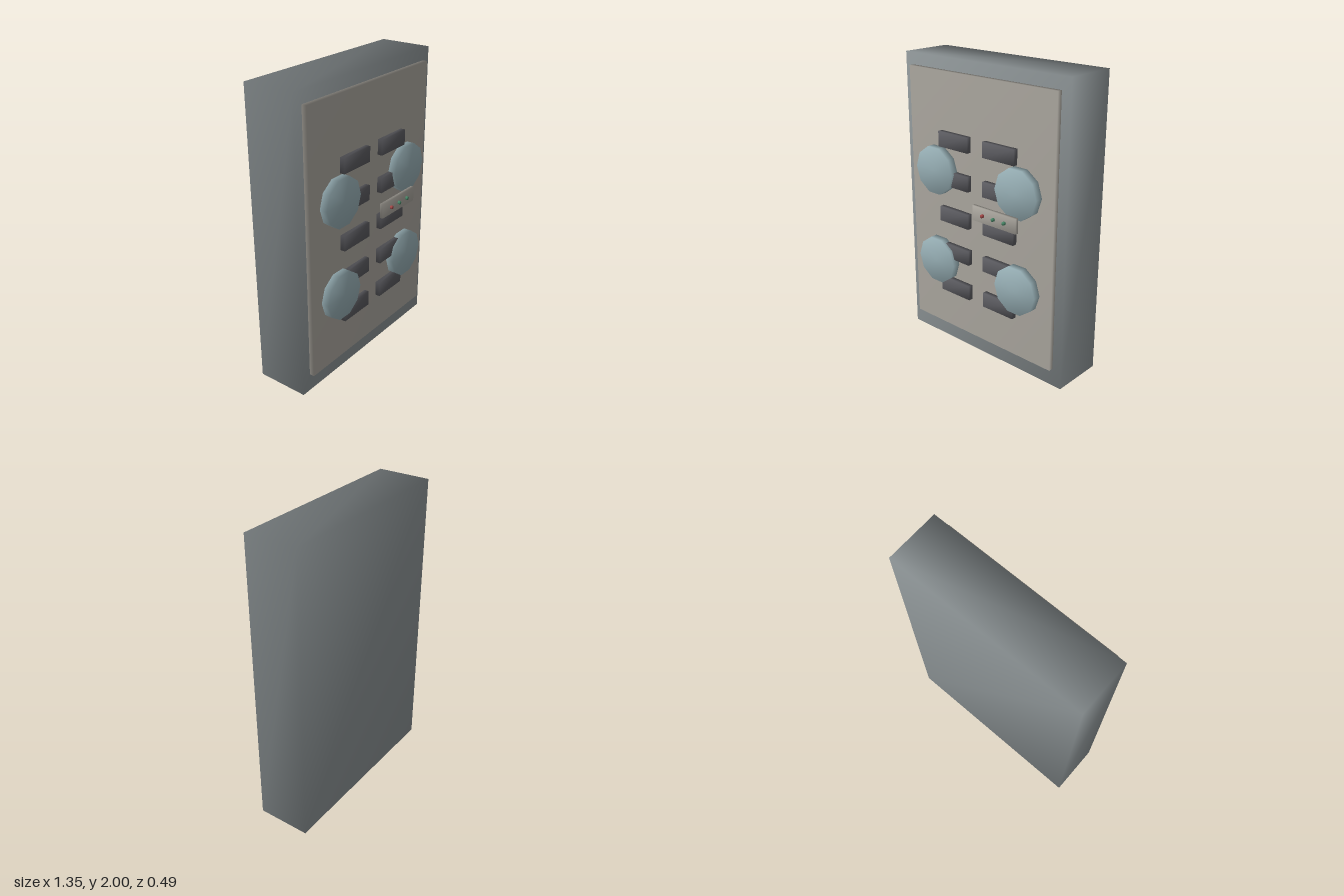
import * as THREE from 'three';
import { mergeVertices } from 'three/addons/utils/BufferGeometryUtils.js';

const mat = (color) => new THREE.MeshStandardMaterial({ color });

// Weld corners so the shading runs softly across the edges
function soften(geometry) {
  geometry.deleteAttribute('normal');
  geometry.deleteAttribute('uv');
  const welded = mergeVertices(geometry, 1e-4);
  welded.computeVertexNormals();
  return welded;
}

export function createModel() {
  const model = new THREE.Group();
  model.name = 'wallControlUnit';

  const bodyMat = mat(0x8c9395);
  const plateMat = mat(0xaaa69e);
  const slotMat = mat(0x5c5c61);
  const discMat = mat(0x98b0b6);

  const add = (name, geometry, material, x, y, z) => {
    const mesh = new THREE.Mesh(soften(geometry), material);
    mesh.name = name;
    mesh.position.set(x, y, z);
    model.add(mesh);
  };
  // Box given by centre x, y, size w, h and its z extent
  const box = (name, material, x, y, w, h, z0, z1) =>
    add(name, new THREE.BoxGeometry(w, h, z1 - z0), material, x, y, (z0 + z1) / 2);
  // Cylinder lying along z, with a corner pointing along x
  const disc = (name, material, x, y, r, z0, z1, sides) =>
    add(name, new THREE.CylinderGeometry(r, r, z1 - z0, sides).rotateX(Math.PI / 2).rotateZ(Math.PI / 2),
      material, x, y, (z0 + z1) / 2);

  // Housing and raised front plate
  box('housing', bodyMat, 0, 1, 1.35, 2, -0.243, 0.117);
  box('frontPlate', plateMat, 0, 1.022, 1.216, 1.795, 0.117, 0.151);

  // Two columns of five dark bars
  for (const side of [-1, 1]) {
    for (let i = 0; i < 5; i++) {
      box('bar', slotMat, side * 0.192, 1.485 - i * 0.258, 0.257, 0.102, 0.151, 0.184);
    }
    // Ten-sided discs
    for (const y of [1.267, 0.622]) disc('disc', discMat, side * 0.35, y, 0.165, 0.151, 0.205, 10);
  }

  // Small label strip standing off the plate, with three indicator lights
  box('indicatorStrip', plateMat, 0.2, 1.075, 0.36, 0.1, 0.207, 0.229);
  [0xa84a4a, 0x4a8a6a, 0x4a8a6a].forEach((color, i) =>
    disc('indicatorLight', mat(color), 0.11 + i * 0.09, 1.075, 0.012, 0.229, 0.243, 8));

  return model;
}
